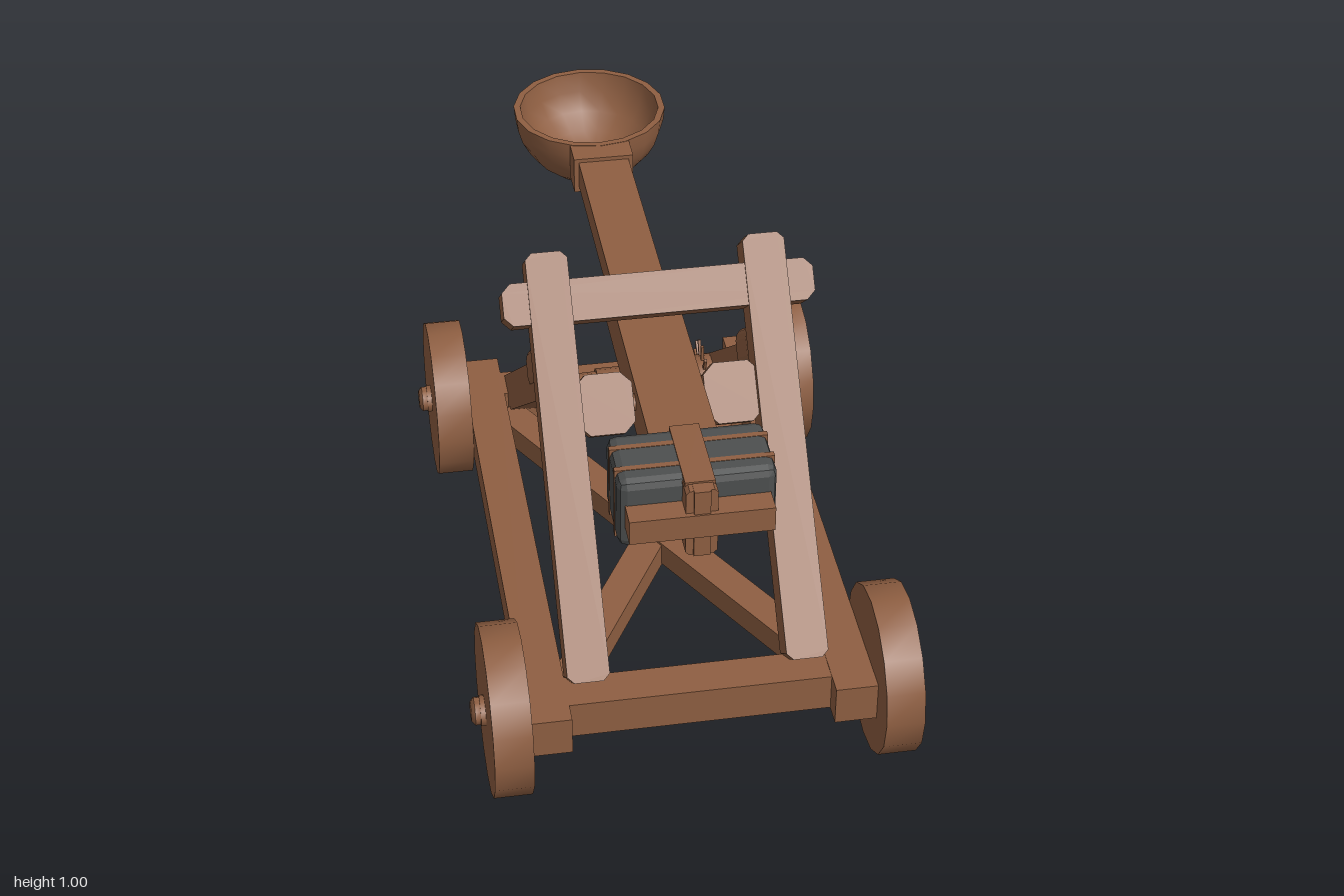
import * as THREE from 'three';
import { RoundedBoxGeometry } from 'three/addons/geometries/RoundedBoxGeometry.js';
import { toCreasedNormals } from 'three/addons/utils/BufferGeometryUtils.js';

const wood = new THREE.MeshStandardMaterial({ color: 0x8f5f42, flatShading: true });
const turnedWood = new THREE.MeshStandardMaterial({ color: 0x8f5f42, side: THREE.DoubleSide });
const iron = new THREE.MeshStandardMaterial({ color: 0x4d4f4f, flatShading: true });

export function createModel() {
  const model = new THREE.Group();
  model.name = 'catapult';

  const add = (name, geometry, x, y, z, material = wood) => {
    const mesh = new THREE.Mesh(geometry, material);
    mesh.name = name;
    mesh.position.set(x, y, z);
    model.add(mesh);
    return mesh;
  };

  // Box given by its limits on each axis
  const box = (name, [x0, x1], [y0, y1], [z0, z1]) =>
    add(name, new THREE.BoxGeometry(x1 - x0, y1 - y0, z1 - z0),
      (x0 + x1) / 2, (y0 + y1) / 2, (z0 + z1) / 2);

  // Plank of width x, length y, thickness z with clipped corners, leaning about x
  const plank = (name, x, y, z, width, length, depth, clip, lean) => {
    const w = width / 2, l = length / 2;
    const shape = new THREE.Shape([
      [-w + clip, -l], [w - clip, -l], [w, -l + clip], [w, l - clip],
      [w - clip, l], [-w + clip, l], [-w, l - clip], [-w, -l + clip],
    ].map(([px, py]) => new THREE.Vector2(px, py)));
    const geometry = new THREE.ExtrudeGeometry(shape, { depth, bevelEnabled: false });
    geometry.translate(0, 0, -depth / 2);
    add(name, geometry, x, y, z).rotation.x = lean;
  };

  // Turned part along x from [x, radius] points
  const turned = (name, points, y, z, sides = 16, mirror = 1) => {
    const profile = points.map(([x, r]) => new THREE.Vector2(r, x));
    const geometry = toCreasedNormals(new THREE.LatheGeometry(profile, sides), 0.7);
    geometry.rotateZ(-Math.PI / 2);
    add(name, geometry, 0, y, z, turnedWood).rotation.y = mirror < 0 ? Math.PI : 0;
  };

  // Chassis: side rails, cross beams and flat diagonal braces
  for (const s of [-1, 1]) {
    add('sideRail', new THREE.BoxGeometry(0.095, 0.096, 1.37), s * 0.3425, 0.188, 0.225);
    const brace = add('diagonalBrace', new THREE.BoxGeometry(0.075, 0.06, 1.19), 0, 0.19 + s * 0.003, 0.255);
    brace.rotation.y = s * Math.atan2(1, 1.75);
  }
  box('frontCrossBeam', [-0.296, 0.296], [0.142, 0.234], [0.77, 0.862]);
  box('rearCrossBeam', [-0.296, 0.296], [0.142, 0.234], [-0.4, -0.308]);

  // Wheels with stepped hub caps
  for (const s of [-1, 1]) for (const z of [0.805, -0.37]) {
    turned('wheel', [[0.39, 0], [0.39, 0.195], [0.477, 0.195], [0.477, 0]], 0.196, z, 16, s);
    turned('hub', [[0.3, 0.035], [0.488, 0.035], [0.488, 0.032], [0.5, 0.032], [0.508, 0.022], [0.508, 0]], 0.196, z, 10, s);
  }

  // Leaning A-frame: posts, struts with rounded heads, pivot stubs and tie beam
  const postLean = Math.atan2(-0.65, 0.77);
  const strutLean = Math.atan2(0.788, 0.615);
  for (const s of [-1, 1]) {
    plank('frontPost', s * 0.246, 0.609, 0.493, 0.095, 0.957, 0.084, 0.015, postLean);
    plank('rearStrut', s * 0.246, 0.45, -0.035, 0.08, 0.85, 0.09, 0, strutLean);
    const head = add('strutHead', new RoundedBoxGeometry(0.088, 0.2, 0.1, 2, 0.03), s * 0.246, 0.696, 0.228);
    head.rotation.x = strutLean;
    plank('pivotStub', s * 0.145, 0.707, 0.408, 0.128, 0.138, 0.046, 0.025, postLean);
  }
  plank('tieBeam', 0, 0.886, 0.252, 0.705, 0.096, 0.088, 0.02, postLean);
  turned('pivotAxle', [[-0.2, 0.02], [0.2, 0.02]], 0.706, 0.408, 10);

  // Throwing arm
  box('armButt', [-0.076, 0.076], [0.635, 0.755], [-0.02, 0.64]);
  box('armShaft', [-0.063, 0.063], [0.675, 0.745], [-0.57, 0]);
  box('armSocket', [-0.075, 0.075], [0.66, 0.755], [-0.63, -0.555]);

  // Hollow round bowl
  const bowlProfile = [];
  for (let i = 0; i <= 8; i++) {
    const a = (i / 8) * Math.PI / 2;
    bowlProfile.push(new THREE.Vector2(0.195 * Math.sin(a), -0.195 * Math.cos(a)));
  }
  for (let i = 5; i >= 0; i--) {
    const a = (i / 5) * Math.PI / 2;
    bowlProfile.push(new THREE.Vector2(0.178 * Math.sin(a), -0.165 * Math.cos(a)));
  }
  add('bowl', toCreasedNormals(new THREE.LatheGeometry(bowlProfile, 18), 0.7), 0, 0.756, -0.805, turnedWood);

  // Counterweight, wooden bands and front clamp
  add('counterweight', new RoundedBoxGeometry(0.346, 0.176, 0.18, 1, 0.02), 0, 0.692, 0.7, iron);
  for (const z of [0.663, 0.737]) {
    box('counterweightBand', [-0.174, 0.174], [0.603, 0.781], [z - 0.007, z + 0.007]);
  }
  box('clampStrap', [-0.033, 0.033], [0.605, 0.783], [0.608, 0.81]);
  plank('clampUpright', 0, 0.692, 0.81, 0.07, 0.172, 0.05, 0.008, 0);
  box('clampRidge', [-0.018, 0.018], [0.607, 0.779], [0.8, 0.842]);
  box('clampBar', [-0.158, 0.158], [0.66, 0.72], [0.785, 0.846]);

  // Winch drum with spiked ratchet wheels
  const winchY = 0.332, winchZ = -0.152;
  turned('winchDrum', [[-0.21, 0.045], [-0.081, 0.048], [-0.081, 0.055], [0.092, 0.055], [0.092, 0.048], [0.21, 0.045]], winchY, winchZ, 14);
  for (const s of [-1, 1]) {
    turned('winchCollar', [[0.157, 0], [0.157, 0.06], [0.176, 0.066], [0.206, 0.066], [0.206, 0]], winchY, winchZ, 14, s);
    const spikes = new THREE.Group();
    spikes.name = 'ratchetSpikes';
    spikes.position.set(s * 0.183, winchY, winchZ);
    for (let i = 0; i < 14; i++) {
      const a = (i / 14) * Math.PI * 2;
      const spike = new THREE.Mesh(new THREE.BoxGeometry(0.007, 0.05, 0.009), wood);
      spike.name = 'spike';
      spike.position.set(0, 0.078 * Math.cos(a), 0.078 * Math.sin(a));
      spike.rotation.x = a;
      spikes.add(spike);
    }
    model.add(spikes);
  }

  return model;
}
